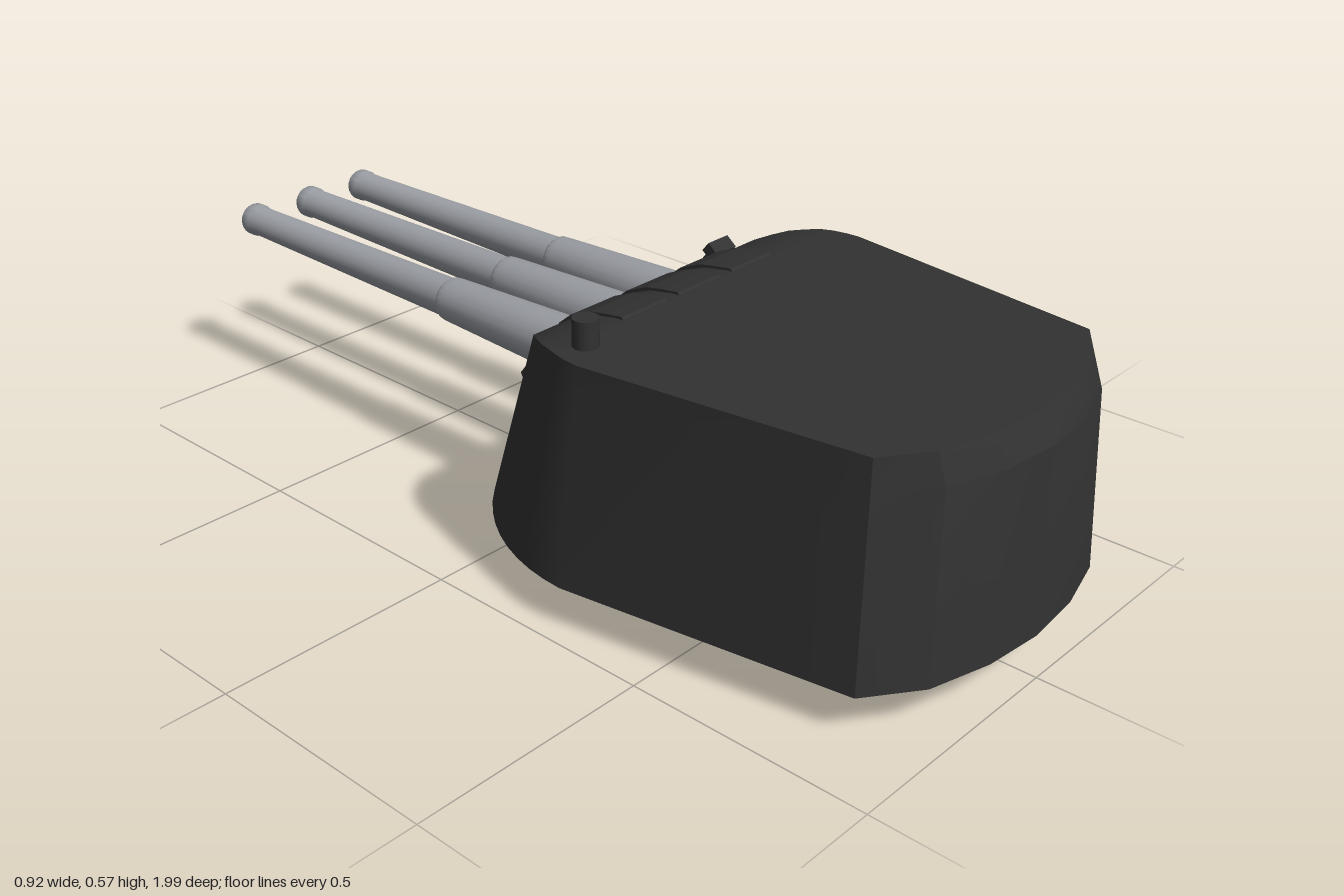
import * as THREE from 'three';
import { mergeVertices, toCreasedNormals } from 'three/addons/utils/BufferGeometryUtils.js';

const mat = (name, color, side = THREE.FrontSide) => {
  const m = new THREE.MeshStandardMaterial({ color, side });
  m.name = name;
  return m;
};

const FLOOR = 0.085, ROOF = 0.515;

// Height of the sloping front plate and roof along z
const PROFILE = [[-0.115, 0.24], [-0.07, 0.3], [0, 0.39], [0.05, 0.455], [0.08, 0.48], [0.13, 0.502], [0.2, ROOF]];
function roofHeight(z) {
  if (z <= PROFILE[0][0]) return PROFILE[0][1];
  for (let i = 1; i < PROFILE.length; i++) {
    const [z0, y0] = PROFILE[i - 1], [z1, y1] = PROFILE[i];
    if (z <= z1) return y0 + (y1 - y0) * (z - z0) / (z1 - z0);
  }
  return ROOF;
}

// Half of the armour outline, front to rear, as [bottom, middle, rim] points
function hullColumns() {
  const columns = [], steps = 16;
  const at = (b, t, s) => [b[0] + (t[0] - b[0]) * s, FLOOR + (ROOF - FLOOR) * s, b[1] + (t[1] - b[1]) * s];
  for (let i = 0; i <= steps; i++) {
    const a = i / steps * Math.PI / 2;
    const b = [0.46 * Math.sin(a), 0.28 - 0.45 * Math.cos(a)];
    const t = [0.41 * Math.sin(a), 0.28 - 0.30 * Math.cos(a)];
    let lo = 0, hi = 1;
    for (let k = 0; k < 30; k++) {
      const s = (lo + hi) / 2, p = at(b, t, s);
      if (p[1] < roofHeight(p[2])) lo = s; else hi = s;
    }
    columns.push([at(b, t, 0), at(b, t, hi * 0.86), at(b, t, hi)]);
  }
  // Rear corner, then the bowed rear plate with its bevelled top
  const rear = [[0.365, 0.87, 0.33, 0.85, 0], [0.26, 0.945, 0.24, 0.912, 0.016],
    [0.13, 0.98, 0.12, 0.945, 0.019], [0, 0.992, 0, 0.956, 0.02]];
  for (const [bx, bz, tx, tz, bulge] of rear) {
    const mid = at([bx, bz], [tx, tz], 0.86);
    mid[2] += bulge;
    columns.push([[bx, FLOOR, bz], mid, [tx, ROOF, tz]]);
  }
  return columns;
}

function hullGeometry() {
  const half = hullColumns(), pos = [];
  const flip = p => [-p[0], p[1], p[2]];
  const loop = [...half, ...half.slice(1, -1).reverse().map(c => c.map(flip))];
  const tri = (...pts) => pts.forEach(p => pos.push(...p));
  // Side walls
  loop.forEach((c, i) => {
    const n = loop[(i + 1) % loop.length];
    for (let k = 0; k < 2; k++) {
      tri(c[k], c[k + 1], n[k]);
      tri(n[k], c[k + 1], n[k + 1]);
    }
  });
  // Roof and floor strips from side to side
  for (let i = 0; i < half.length - 1; i++) {
    const r = half[i], q = half[i + 1];
    for (const [k, up] of [[2, true], [0, false]]) {
      const R = r[k], Q = q[k], L = flip(R), M = flip(Q);
      if (i > 0) up ? tri(L, M, R) : tri(L, R, M);
      if (i < half.length - 2) up ? tri(R, M, Q) : tri(R, Q, M);
      else if (i > 0 && Q[0] !== 0) up ? tri(R, M, Q) : tri(R, Q, M);
    }
  }
  const g = new THREE.BufferGeometry();
  g.setAttribute('position', new THREE.Float32BufferAttribute(pos, 3));
  return toCreasedNormals(mergeVertices(g), 0.35);
}

// Curved shutter following the front slope above each gun
function shutterGeometry(width, lift) {
  const zs = [-0.06, -0.03, 0, 0.05, 0.08, 0.13, 0.17, 0.21];
  const top = zs.map(z => new THREE.Vector2(z - lift * 0.6, roofHeight(z) + lift * 0.6));
  const low = zs.map(z => new THREE.Vector2(z + 0.005, roofHeight(z) - 0.01)).reverse();
  const g = new THREE.ExtrudeGeometry(new THREE.Shape([...top, ...low]), { depth: width, bevelEnabled: false });
  g.rotateY(-Math.PI / 2);
  g.translate(width / 2, 0, 0);
  return g;
}

export function createModel() {
  const armour = mat('dark armour', 0x323232);
  const steel = mat('gun steel', 0x999ca2);
  const tan = mat('tan ring', 0xd2b99c, THREE.DoubleSide);
  const model = new THREE.Group();
  model.name = 'gunTurret';
  const add = (name, geo, material, x = 0, y = 0, z = 0, parent = model) => {
    const m = new THREE.Mesh(geo, material);
    m.name = name;
    m.position.set(x, y, z);
    parent.add(m);
    return m;
  };

  add('armourHull', hullGeometry(), armour);
  add('baseRing', new THREE.CylinderGeometry(0.33, 0.33, FLOOR, 32, 1, true), tan, 0, FLOOR / 2, 0.29);

  // Barrel profile: radius and distance forward, ending inside the bore
  const profile = [[0.001, -0.07], [0.057, -0.07], [0.057, 0.02], [0.047, 0.31], [0.046, 0.325], [0.041, 0.332],
    [0.033, 0.965], [0.036, 0.972], [0.036, 0.992], [0.033, 0.998]];
  const points = list => list.map(p => new THREE.Vector2(...p));
  const lathe = list => toCreasedNormals(new THREE.LatheGeometry(points(list), 20).rotateX(-Math.PI / 2), 0.6);
  const barrel = lathe(profile);
  const bore = lathe([[0.024, 0.998], [0.024, 0.9], [0.001, 0.9]]);
  const lip = lathe([[0.033, 0.998], [0.03, 1], [0.024, 0.998]]);
  const shutter = shutterGeometry(0.12, 0.008);

  for (const x of [-0.155, 0, 0.155]) {
    const gun = new THREE.Group();
    gun.name = 'gun';
    gun.position.set(x, 0.378, 0);
    model.add(gun);
    add('barrel', barrel, steel, 0, 0, 0, gun);
    add('bore', bore, steel, 0, 0, 0, gun);
    add('muzzleLip', lip, tan, 0, 0, 0, gun);
    add('gunShutter', shutter, armour, x);
  }

  // Roof periscope
  add('periscope', new THREE.CylinderGeometry(0.025, 0.025, 0.075, 16), armour, -0.34, 0.5325, 0.235);

  // Sighting hood on the front slope
  const sight = new THREE.Group();
  sight.name = 'sightHood';
  sight.position.set(0.25, 0.428, 0.03);
  sight.rotation.x = -0.9;
  model.add(sight);
  add('sightBase', new THREE.BoxGeometry(0.045, 0.02, 0.1), armour, 0, 0.006, 0, sight);
  add('sightCover', new THREE.BoxGeometry(0.06, 0.03, 0.025), armour, 0, 0.015, 0.045, sight);
  add('sightTube', new THREE.CylinderGeometry(0.012, 0.012, 0.07, 12).rotateX(Math.PI / 2), armour, 0, 0.016, 0, sight);
  return model;
}
